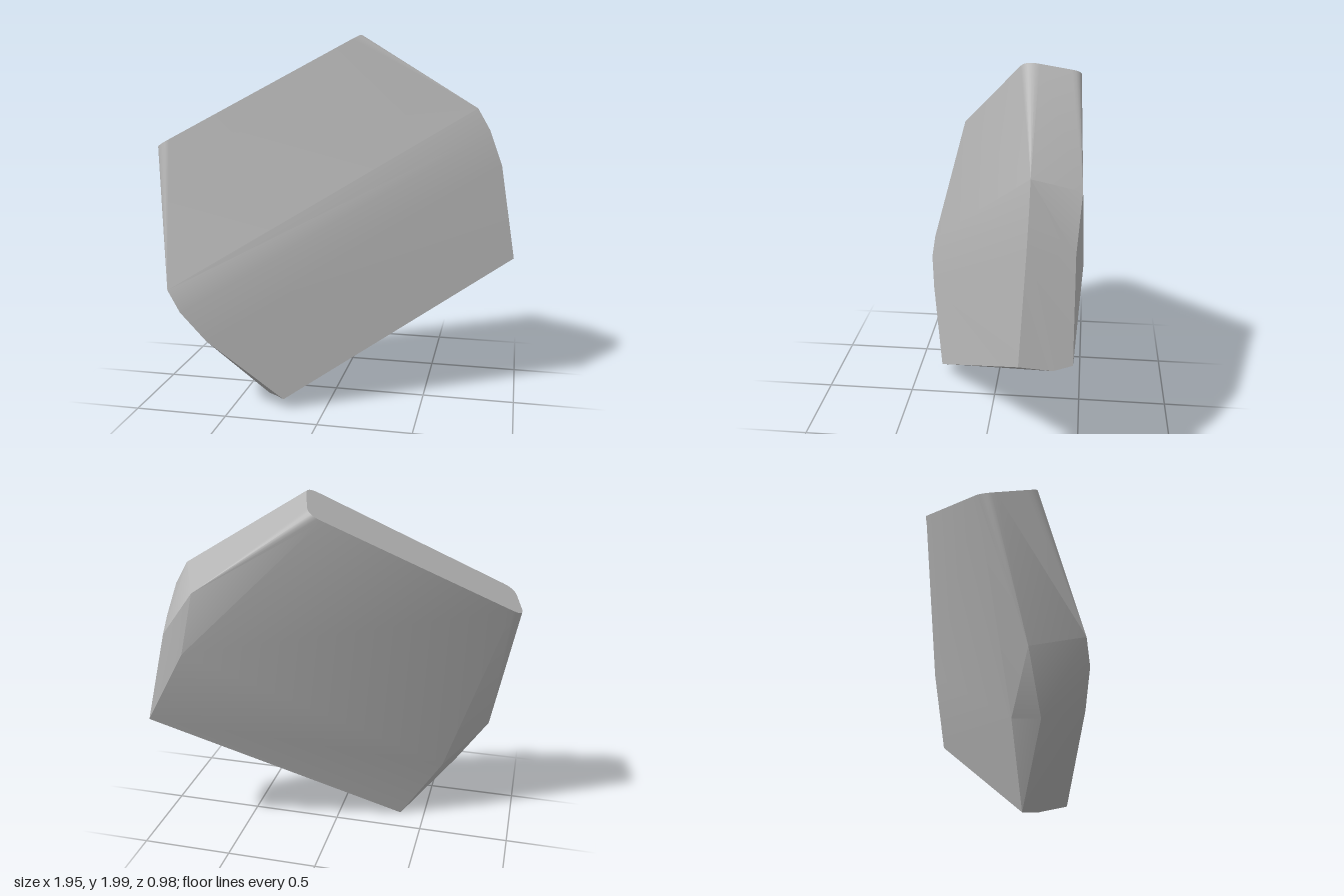
import * as THREE from 'three';
import { toCreasedNormals } from 'three/addons/utils/BufferGeometryUtils.js';

const v = (x, y, z) => new THREE.Vector3(x, y, z);
const CENTRE = v(-0.02, 0.97, 0);

// Point on the sloping top plane
const onTop = (x, z) => v(x, 2 + 0.592 * (x - 0.105) + 0.04 * (z + 0.18), z);

// Rounded corner of the top outline, from the previous side to the next
function corner(prev, at, next, radius = 0.075, steps = 6) {
  const a = at.clone().lerp(prev, radius / at.distanceTo(prev));
  const b = at.clone().lerp(next, radius / at.distanceTo(next));
  return new THREE.QuadraticBezierCurve3(a, at, b).getPoints(steps);
}

export function createModel() {
  const grey = new THREE.MeshStandardMaterial({ color: 0xb4b4b4 });
  grey.name = 'stone grey';

  // Top corners: front right, back right, back left, front left of the slab
  const t = [onTop(0.116, -0.165), onTop(0.024, -0.466), onTop(-0.991, 0.018), onTop(-0.918, 0.3)];
  const [A, C, D, B] = t.map((p, i) => corner(t[(i + 3) % 4], p, t[(i + 1) % 4]));
  const last = (arc) => arc[arc.length - 1];

  // Bottom edge points on both ends
  const E = v(0.97, 0.77, -0.21), Em = v(0.945, 0.745, -0.37), G = v(0.93, 0.77, -0.46);
  const F = v(-0.22, 0.06, 0.35), Fm = v(-0.29, 0.018, 0.22), H = v(-0.36, 0.002, 0.145);
  // Front edge of each end, from top to bottom
  const R = [v(0.745, 1.6, -0.24), v(0.815, 1.48, -0.24), v(0.885, 1.29, -0.235), E];
  const L = [v(-0.81, 0.675, 0.48), v(-0.74, 0.56, 0.49), v(-0.61, 0.4, 0.46), F];
  // Chipped back edge of each end
  const I = v(0.63, 1.51, -0.475), J = v(0.7, 1.18, -0.49), K = v(0.81, 1.27, -0.455);
  const N = v(-0.84, 0.63, 0.22), M = v(-0.66, 0.35, 0.26), P = v(-0.6, 0.38, 0.12);

  // Adds a convex polygon as a fan whose triangles face outward
  const positions = [];
  const poly = (...pts) => {
    for (let i = 1; i < pts.length - 1; i++) {
      const tri = new THREE.Triangle(pts[0], pts[i], pts[i + 1]);
      const out = tri.getMidpoint(v(0, 0, 0)).sub(CENTRE);
      const inward = tri.getNormal(v(0, 0, 0)).dot(out) < 0;
      const order = inward ? [tri.a, tri.c, tri.b] : [tri.a, tri.b, tri.c];
      order.forEach((p) => positions.push(p.x, p.y, p.z));
    }
  };

  // Top with rounded corners
  poly(...A, ...C, ...D, ...B);

  // Front, gently curved in strips
  poly(last(B), A[0], R[0], L[0]);
  for (let i = 0; i < 3; i++) poly(L[i], R[i], R[i + 1], L[i + 1]);

  // Back and underside
  poly(D[0], last(C), J, P);
  poly(P, J, G, H);
  poly(E, Em, Fm, F);
  poly(Em, G, H, Fm);

  // Left end
  poly(R[0], ...A);
  poly(last(A), C[0], I, R[0]);
  poly(I, ...C);
  poly(last(C), J, I);
  poly(R[0], I, K, R[1]);
  poly(R[1], K, R[2]);
  poly(R[2], K, G, Em, E);
  poly(I, J, K);
  poly(J, G, K);

  // Right end
  poly(L[0], ...B);
  poly(last(D), B[0], L[0], N);
  poly(N, ...D);
  poly(D[0], P, N);
  poly(P, N, M);
  poly(P, M, H);
  poly(L[0], N, M, L[1]);
  poly(L[1], M, L[2]);
  poly(L[2], M, H, Fm, F);

  const geometry = new THREE.BufferGeometry();
  geometry.setAttribute('position', new THREE.Float32BufferAttribute(positions, 3));
  const slab = new THREE.Mesh(toCreasedNormals(geometry, 0.4), grey);
  slab.name = 'slab';

  const group = new THREE.Group();
  group.name = 'tilted slab';
  group.add(slab);
  return group;
}
